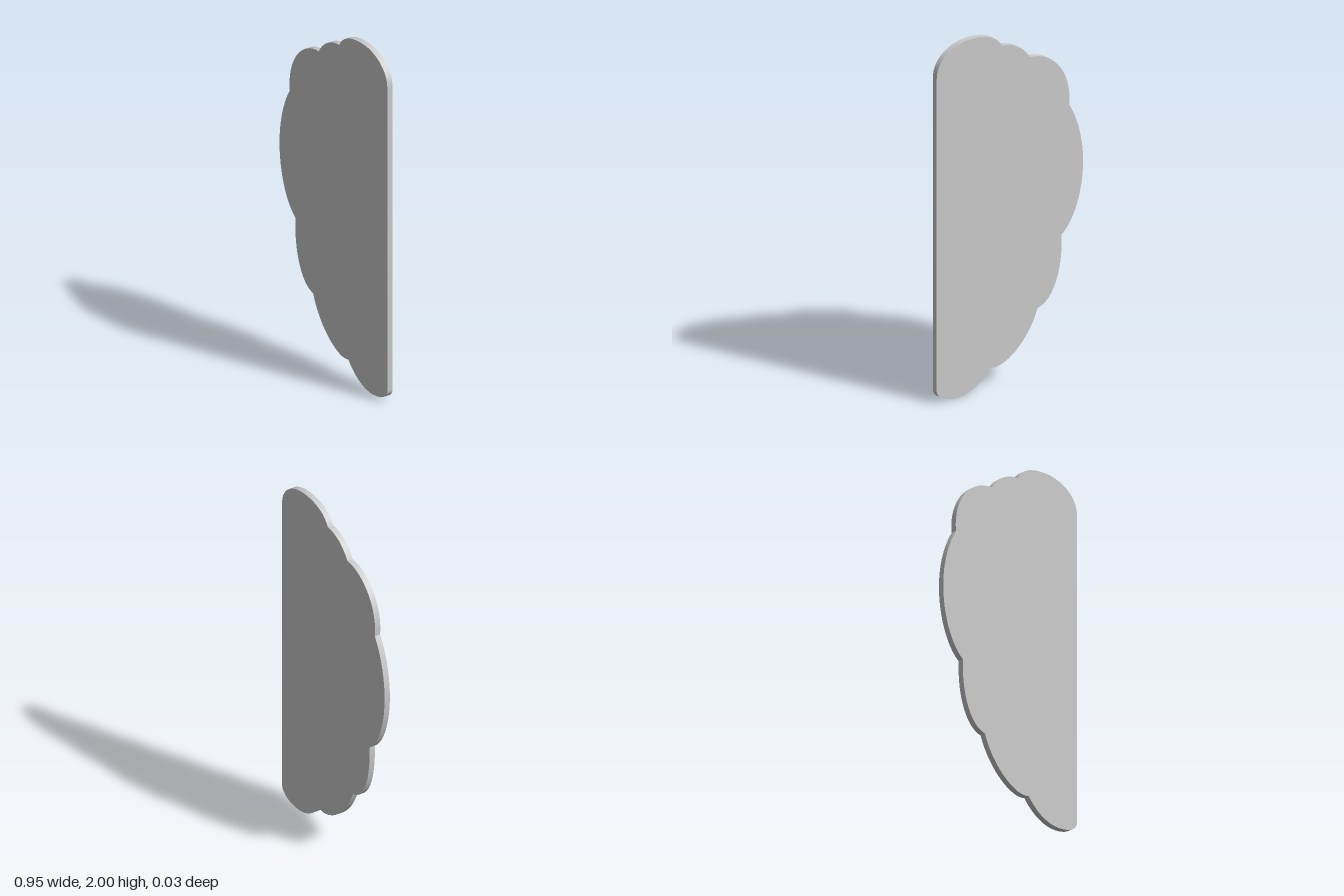
import * as THREE from 'three';
import { toCreasedNormals } from 'three/addons/utils/BufferGeometryUtils.js';

const THICKNESS = 0.033;

export function createModel() {
  const group = new THREE.Group();
  group.name = 'scallopedPanel';

  // Scalloped edge, from the top of the straight side round to its foot:
  // each row is two control points and an end point
  const lobes = [
    [0.473, 1.93, 0.37, 2.0, 0.25, 2.0],
    [0.15, 2.0, 0.08, 1.97, 0.05, 1.91],
    [-0.02, 1.91, -0.09, 1.87, -0.13, 1.8],
    [-0.28, 1.8, -0.405, 1.65, -0.385, 1.47],
    [-0.44, 1.38, -0.475, 1.26, -0.475, 1.13],
    [-0.475, 0.97, -0.42, 0.81, -0.335, 0.75],
    [-0.345, 0.55, -0.28, 0.39, -0.18, 0.375],
    [-0.12, 0.2, 0.04, 0.085, 0.13, 0.115],
    [0.18, 0.05, 0.25, 0.0, 0.34, 0.0],
    [0.41, 0.0, 0.473, 0.03, 0.473, 0.07],
  ];
  const outline = new THREE.Shape();
  outline.moveTo(0.473, 1.83);
  for (const lobe of lobes) outline.bezierCurveTo(...lobe);
  outline.closePath();

  // Thin flat slab with square edges
  const slab = new THREE.ExtrudeGeometry(outline, {
    depth: THICKNESS,
    bevelEnabled: false,
    curveSegments: 16,
  });
  slab.translate(0, 0, -THICKNESS / 2);

  const panel = new THREE.Mesh(
    toCreasedNormals(slab, 0.4),
    new THREE.MeshStandardMaterial({ color: 0xcccccc })
  );
  panel.name = 'panel';
  group.add(panel);
  return group;
}
